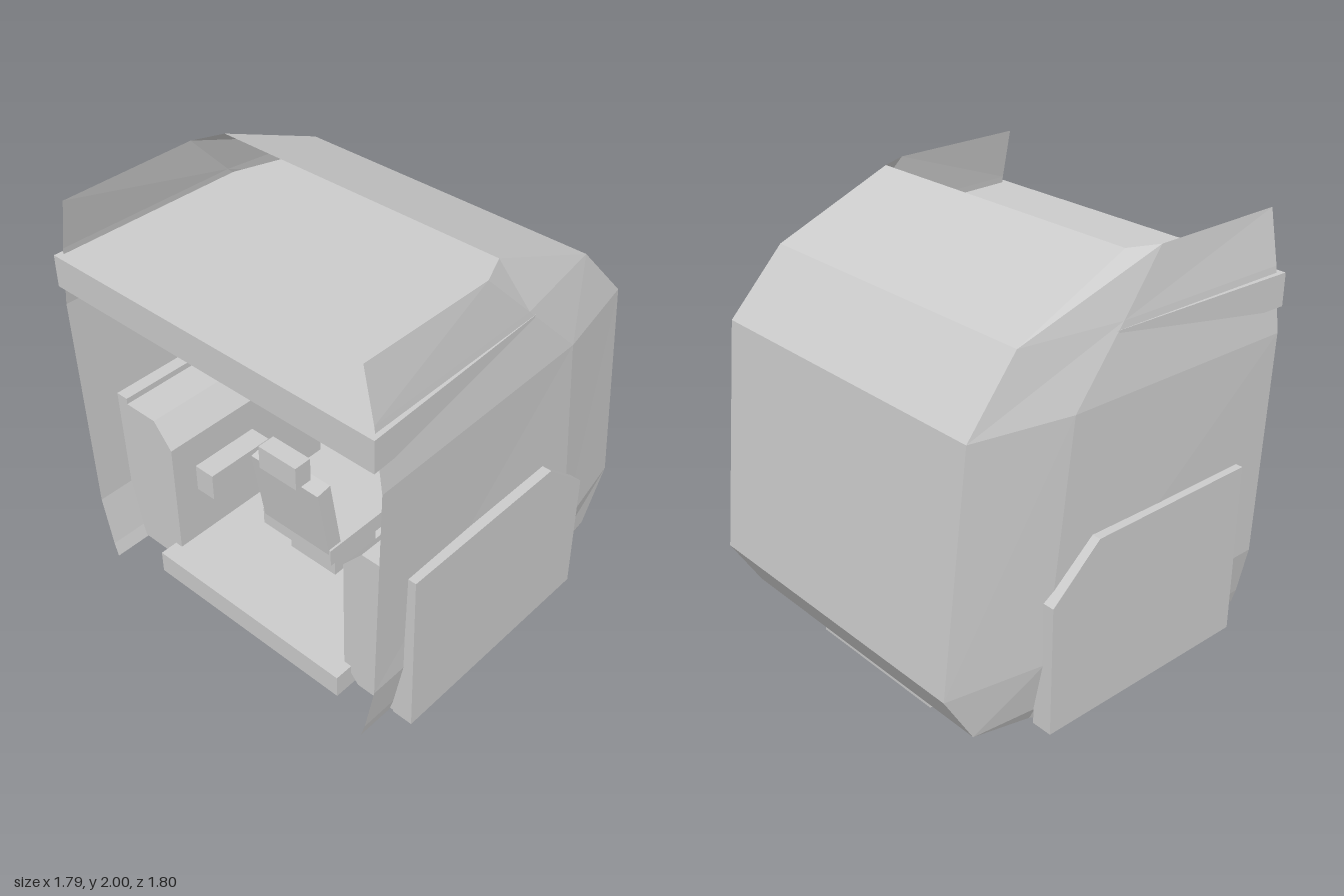
import * as THREE from 'three';

const grey = new THREE.MeshStandardMaterial({ color: 0xcccccc, flatShading: true });
const greyThin = new THREE.MeshStandardMaterial({ color: 0xcccccc, flatShading: true, side: THREE.DoubleSide });

function add(parent, name, geometry, x = 0, y = 0, z = 0, material = grey) {
  const mesh = new THREE.Mesh(geometry, material);
  mesh.name = name;
  mesh.position.set(x, y, z);
  parent.add(mesh);
  return mesh;
}

// Box from its minimum and maximum corners
function box(parent, name, x0, x1, y0, y1, z0, z1) {
  return add(parent, name, new THREE.BoxGeometry(x1 - x0, y1 - y0, z1 - z0),
    (x0 + x1) / 2, (y0 + y1) / 2, (z0 + z1) / 2);
}

function extrude(points, depth) {
  const shape = new THREE.Shape(points.map(([x, y]) => new THREE.Vector2(x, y)));
  return new THREE.ExtrudeGeometry(shape, { depth, bevelEnabled: false });
}

// Horizontal plate from half of its outline (x, half width)
function plate(half, y0, y1) {
  const outline = [...half, ...half.map(([x, z]) => [x, -z]).reverse()];
  const g = extrude(outline, y1 - y0);
  g.rotateX(-Math.PI / 2);
  g.translate(0, y0, 0);
  return g;
}

// Faceted skin: each row holds the rear, crease and nose points of one height
function shellGeometry() {
  const rows = [ // y, rear [x, z], crease [x, z], nose [x, z]
    [2.0, [-0.87, 0.79], [-0.2, 0.79], [-0.06, 0.73]],
    [1.76, [-0.87, 0.84], [0.03, 0.825], [0.51, 0.75]],
    [1.47, [-0.87, 0.88], [0.31, 0.86], [0.77, 0.77]],
    [0.38, [-0.87, 0.85], [0.43, 0.85], [0.89, 0.765]],
    [0.13, [-0.87, 0.8], [0.43, 0.8], [0.74, 0.765]],
    [0.06, [-0.87, 0.78], [0.41, 0.78], [0.43, 0.765]],
  ];
  const positions = [], index = [], cols = 6;
  for (const [y, ...half] of rows) {
    for (const [x, z] of half) positions.push(x, y, z);
    for (const [x, z] of [...half].reverse()) positions.push(x, y, -z);
  }
  for (let r = 0; r < rows.length - 1; r++) {
    for (let c = 0; c < cols - 1; c++) {
      const a = r * cols + c, b = a + 1, d = a + cols, e = d + 1;
      index.push(a, d, b, b, d, e);
    }
  }
  const g = new THREE.BufferGeometry();
  g.setAttribute('position', new THREE.Float32BufferAttribute(positions, 3));
  g.setIndex(index);
  const flat = g.toNonIndexed();
  flat.computeVertexNormals();
  return flat;
}

export function createModel() {
  const model = new THREE.Group();
  model.name = 'cab';

  add(model, 'outerShell', shellGeometry(), 0, 0, 0, greyThin);

  // Sunken roof slab, its edges showing through the side walls
  add(model, 'roofSlab', plate([[-0.9, 0.868], [0.06, 0.83], [0.45, 0.7]], 1.58, 1.73));

  // Floor and front foot
  box(model, 'floor', -0.78, 0.42, 0.045, 0.16, -0.56, 0.56);
  add(model, 'frontFoot', plate([[0.35, 0.48], [0.41, 0.48], [0.65, 0.38]], 0, 0.12));

  // Side armour with the boxed casing behind it
  const panel = [[-0.69, 0.06], [0.44, 0.06], [0.44, 0.68], [0.19, 0.9], [-0.69, 0.9]];
  const casing = [[0.82, 0.07], [0.6, 0.07], [0.52, 0.16], [0.52, 0.75], [0.62, 0.87], [0.82, 0.87]];
  for (const side of [1, -1]) {
    const group = new THREE.Group();
    group.name = side > 0 ? 'leftSide' : 'rightSide';
    model.add(group);
    add(group, 'sideArmour', extrude(panel, 0.1), 0, 0, side > 0 ? 0.8 : -0.9);
    const g = extrude(casing.map(([z, y]) => [side * -z, y]), 0.95);
    g.rotateY(Math.PI / 2);
    add(group, 'innerCasing', g, -0.69);
    box(group, 'armrest', -0.56, -0.2, 0.44, 0.58, side * 0.47 - 0.06, side * 0.47 + 0.06);
  }

  // Driver's seat
  const seat = new THREE.Group();
  seat.name = 'seat';
  model.add(seat);
  box(seat, 'seatPedestal', -0.34, -0.06, 0.16, 0.34, -0.14, 0.14);
  box(seat, 'seatCushion', -0.44, 0.04, 0.34, 0.43, -0.21, 0.21);
  box(seat, 'seatBack', -0.47, -0.39, 0.38, 0.8, -0.2, 0.2).rotation.z = 0.16;
  box(seat, 'headrest', -0.54, -0.45, 0.8, 0.92, -0.11, 0.11);

  return model;
}
